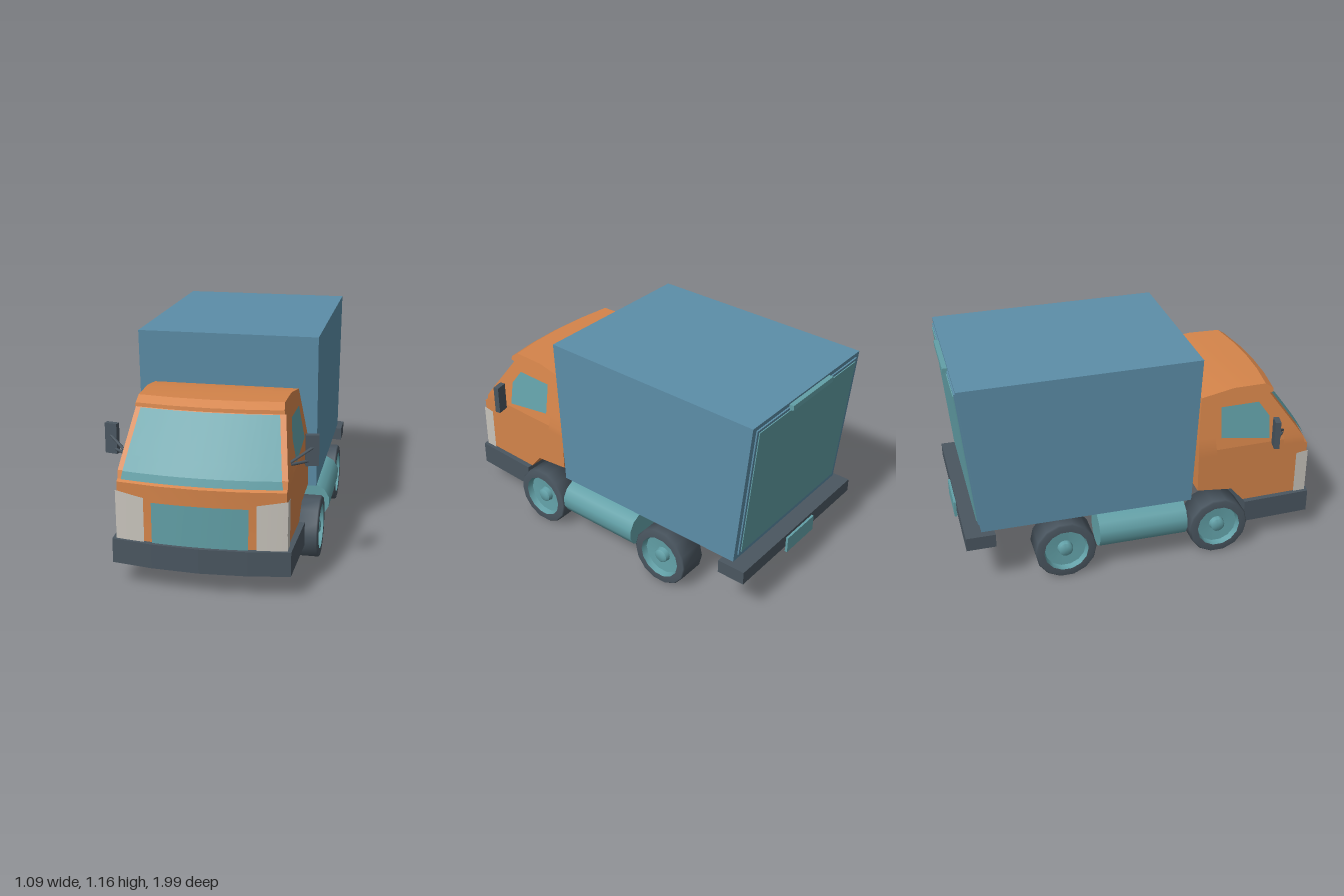
import * as THREE from 'three';
import { toCreasedNormals } from 'three/addons/utils/BufferGeometryUtils.js';

const mat = (name, color) => {
  const m = new THREE.MeshStandardMaterial({ color });
  m.name = name;
  return m;
};

// Cab levels: height, rear z (gives the wheel arch), front z on the centre line
const LEVELS = [
  [0.118, 0.57, 0.965], [0.24, 0.57, 0.965], [0.335, 0.49, 0.965], [0.36, 0.29, 0.965],
  [0.55, 0.29, 0.97], [0.56, 0.29, 0.952], [0.6, 0.29, 0.94], [0.67, 0.29, 0.889],
  [0.87, 0.311, 0.735], [0.876, 0.312, 0.757], [0.895, 0.315, 0.754], [0.925, 0.5, 0.71],
];
const BOW = 0.04;

// Cab half width: upright below the windows, leaning in above them
const halfWidth = (y, z) => 0.42 - 0.055 * Math.max(0, (y - 0.6) / 0.3) + 0.032 * (0.93 - z);

// Bowed cab front
function frontZ(y, x) {
  let i = 0;
  while (i < LEVELS.length - 2 && y > LEVELS[i + 1][0]) i++;
  const [y0, , a] = LEVELS[i], [y1, , b] = LEVELS[i + 1];
  return a + (b - a) * (y - y0) / (y1 - y0) - BOW * (x / 0.42) ** 2;
}

function buffer(pos, index) {
  const g = new THREE.BufferGeometry();
  g.setAttribute('position', new THREE.Float32BufferAttribute(pos, 3));
  g.setIndex(index);
  return toCreasedNormals(g, 0.3);
}

// Closed cab shell lofted through the levels
function cabShell() {
  const pos = [], idx = [], n = 7;
  for (const [y, zb, zf] of LEVELS) {
    const hb = halfWidth(y, zb), hf = halfWidth(y, zf - 0.035);
    pos.push(hb, y, zb);
    for (const t of [1, 0.5, 0, -0.5, -1]) pos.push(hf * t, y, frontZ(y, hf * t));
    pos.push(-hb, y, zb);
  }
  const top = (LEVELS.length - 1) * n;
  for (let r = 0; r < top; r += n)
    for (let i = 0; i < n; i++) {
      const a = r + i, b = r + (i + 1) % n;
      idx.push(a, a + n, b + n, a, b + n, b);
    }
  for (let i = 1; i < n - 1; i++) idx.push(0, i, i + 1, top, top + i + 1, top + i);
  return buffer(pos, idx);
}

// Thin sheet following the bowed front; each row is [xa, ya, xb, yb], bottom to top
function frontSheet(rows, off = 0.008, n = 8) {
  const pos = [], idx = [];
  rows.forEach(([xa, ya, xb, yb], r) => {
    for (let j = 0; j <= n; j++) {
      const x = xa + (xb - xa) * j / n, y = ya + (yb - ya) * j / n;
      pos.push(x, y, frontZ(y, x) + off);
      if (r && j < n) {
        const a = (r - 1) * (n + 1) + j, c = a + n + 1;
        idx.push(a, a + 1, c + 1, a, c + 1, c);
      }
    }
  });
  return buffer(pos, idx);
}

// Thin sheet on the cab side from an outline of [z, y]
function sideSheet(outline, s, off) {
  const g = new THREE.ShapeGeometry(
    new THREE.Shape(outline.map(([z, y]) => new THREE.Vector2(-s * z, y))));
  const p = g.attributes.position;
  for (let i = 0; i < p.count; i++) {
    const z = -s * p.getX(i), y = p.getY(i);
    p.setXYZ(i, s * (halfWidth(y, z) + off), y, z);
  }
  g.computeVertexNormals();
  return g;
}

export function createModel() {
  const truck = new THREE.Group();
  truck.name = 'boxTruck';
  const orange = mat('cabOrange', 0xd4844a);
  const blue = mat('cargoBlue', 0x5c8ea8);
  const teal = mat('teal', 0x62a0a7);
  const dark = mat('darkGrey', 0x4a5660);
  const pale = mat('lampWhite', 0xc8c4bc);

  const add = (name, geo, m, x = 0, y = 0, z = 0) => {
    const mesh = new THREE.Mesh(geo, m);
    mesh.name = name;
    mesh.position.set(x, y, z);
    truck.add(mesh);
    return mesh;
  };
  const box = (w, h, d) => new THREE.BoxGeometry(w, h, d);

  // Cargo box with leaning ends
  const cargo = box(0.96, 1, 1);
  const cp = cargo.attributes.position;
  for (let i = 0; i < cp.count; i++) {
    const up = cp.getY(i) > 0, front = cp.getZ(i) > 0;
    cp.setY(i, up ? (front ? 1.162 : 1.15) : 0.335);
    cp.setZ(i, front ? (up ? 0.283 : 0.24) : (up ? -0.972 : -0.9));
  }
  cargo.computeVertexNormals();
  add('cargoBox', cargo, blue);

  // Rear door, handle, bumper and plate
  const lean = -Math.atan(0.072 / 0.815);
  add('rearDoorFrame', box(0.9, 0.765, 0.01), blue, 0, 0.745, -0.939).rotation.x = lean;
  add('rearDoor', box(0.87, 0.735, 0.016), teal, 0, 0.745, -0.941).rotation.x = lean;
  add('rearDoorHandle', box(0.36, 0.028, 0.025), teal, 0, 1.128, -0.986);
  add('rearBumper', box(1.02, 0.074, 0.155), dark, 0, 0.29, -0.908);
  add('rearPlate', box(0.25, 0.09, 0.014), teal, 0, 0.265, -0.991);

  // Cab, windscreen and grille
  add('cab', cabShell(), orange);
  add('windscreen', frontSheet([
    [-0.4, 0.561, 0.4, 0.561], [-0.393, 0.6, 0.393, 0.6],
    [-0.382, 0.67, 0.382, 0.67], [-0.35, 0.869, 0.35, 0.869]]), teal);
  add('grille', frontSheet([[-0.24, 0.25, 0.24, 0.25], [-0.24, 0.465, 0.24, 0.465]]), teal);

  // Front bumper wrapping the nose
  const plan = [[0.462, 0.562], [0.447, 0.945], [0.24, 0.98], [0, 0.995]];
  const outline = [...plan, ...plan.slice(0, 3).reverse().map(([x, z]) => [-x, z])];
  const bumper = new THREE.ExtrudeGeometry(
    new THREE.Shape(outline.map(([x, z]) => new THREE.Vector2(x, -z))),
    { depth: 0.127, bevelEnabled: false });
  bumper.rotateX(-Math.PI / 2);
  add('frontBumper', bumper, dark, 0, 0.126, 0);

  // Wheel profiles, spun around the axle
  const lathe = pts => new THREE.LatheGeometry(pts.map(p => new THREE.Vector2(...p)), 14);
  const tyre = lathe([[0, -0.078], [0.165, -0.078], [0.165, 0.07], [0.158, 0.078], [0.12, 0.078]]);
  const rim = toCreasedNormals(lathe([[0.12, 0.078], [0.112, 0.045], [0.042, 0.04],
    [0.038, 0.066], [0.025, 0.074], [0, 0.074]]), 0.6);
  const tank = new THREE.CylinderGeometry(0.1, 0.1, 0.485, 12, 1, false, Math.PI / 12);
  tank.rotateX(Math.PI / 2);

  for (const s of [1, -1]) {
    const side = s > 0 ? 'left' : 'right';

    // Wheels and side tank
    for (const [end, z] of [['Front', 0.388], ['Rear', -0.465]]) {
      add(side + end + 'Tyre', tyre, dark, s * 0.45, 0.166, z).rotation.z = -s * Math.PI / 2;
      add(side + end + 'Rim', rim, teal, s * 0.45, 0.166, z).rotation.z = -s * Math.PI / 2;
    }
    add(side + 'Tank', tank, teal, s * 0.45, 0.231, -0.043);

    // Door panel and window
    add(side + 'DoorLower', sideSheet([[0.785, 0.6], [0.76, 0.35], [0.53, 0.35],
      [0.51, 0.47], [0.4, 0.555], [0.39, 0.6]], s, 0.005), orange);
    add(side + 'DoorUpper', sideSheet([[0.785, 0.6], [0.775, 0.66], [0.65, 0.855],
      [0.4, 0.855], [0.385, 0.66], [0.39, 0.6]], s, 0.005), orange);
    add(side + 'Window', sideSheet([[0.635, 0.835], [0.42, 0.835], [0.415, 0.665],
      [0.695, 0.623], [0.695, 0.75]], s, 0.009), teal);

    // Headlamp wrapping the corner
    const inner = 0.28, outer = 0.428;
    const rows = s > 0
      ? [[inner, 0.25, outer, 0.25], [inner, 0.485, outer, 0.508]]
      : [[-outer, 0.25, -inner, 0.25], [-outer, 0.508, -inner, 0.485]];
    add(side + 'HeadlampFront', frontSheet(rows), pale);
    add(side + 'HeadlampSide', sideSheet([[0.934, 0.25], [0.934, 0.508],
      [0.865, 0.5], [0.865, 0.25]], s, 0.007), pale);

    // Mirror on two struts
    add(side + 'Mirror', box(0.066, 0.158, 0.03), dark, s * 0.508, 0.695, 0.698).rotation.y = s * 0.2;
    for (const [a, b] of [[[0.5, 0.64, 0.7], [0.41, 0.64, 0.78]], [[0.52, 0.715, 0.7], [0.41, 0.65, 0.78]]]) {
      const path = new THREE.LineCurve3(
        new THREE.Vector3(s * a[0], a[1], a[2]), new THREE.Vector3(s * b[0], b[1], b[2]));
      add(side + 'MirrorStrut', new THREE.TubeGeometry(path, 1, 0.008, 6), dark);
    }
  }
  return truck;
}
